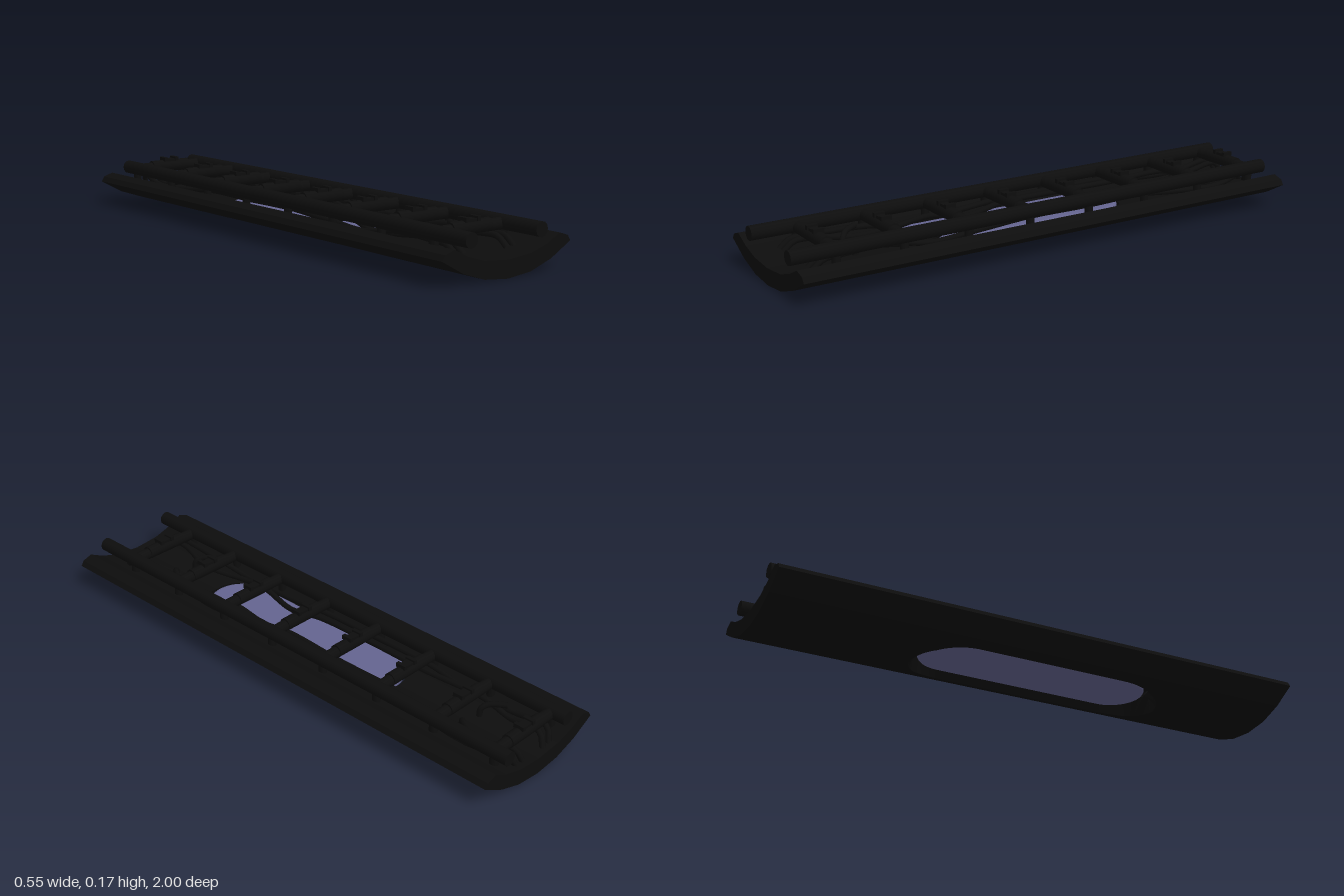
import * as THREE from 'three';

const black = new THREE.MeshStandardMaterial({ color: 0x0d0d0d });
black.name = 'matte black';
const violet = new THREE.MeshStandardMaterial({ color: 0x64648f });
violet.name = 'violet glass';

// Half profile of the curved hull, as [x, y] from the centre outward
const UNDER = [[0, 0], [0.1, 0.01], [0.19, 0.04], [0.277, 0.088]];
const UPPER = [[0, 0.06], [0.1, 0.069], [0.17, 0.09], [0.228, 0.119], [0.265, 0.107]];

function heightAt(profile, x) {
  for (let i = 1; i < profile.length; i++) {
    const [x0, y0] = profile[i - 1], [x1, y1] = profile[i];
    if (x <= x1) return y0 + (y1 - y0) * (x - x0) / (x1 - x0);
  }
  return profile[profile.length - 1][1];
}

// Half width at z of a slot with elliptical ends
function slotWidth(z, back, front, half, end) {
  if (z <= back || z >= front) return 0;
  const d = Math.min(1, Math.min(z - back, front - z) / end);
  return half * Math.sqrt(1 - (1 - d) ** 2);
}

// One half of the hull, lofted along z around the window opening
function hullHalf(side) {
  const stations = [-1, 1];
  for (let i = 0; i <= 14; i++) {
    const d = 0.22 * (i / 14) ** 2;
    stations.push(-0.42 + d, 0.56 - d, -0.4 + d, 0.53 - d);
  }
  stations.sort((a, b) => a - b);
  const loops = stations.map((z) => {
    const low = slotWidth(z, -0.42, 0.56, 0.145, 0.2);
    const high = slotWidth(z, -0.4, 0.53, 0.112, 0.112);
    const clamp = (profile, w) => profile.map(([x]) => {
      const cx = Math.max(x, w);
      return [side * cx, heightAt(profile, cx), z];
    });
    return [...clamp(UNDER, low), ...clamp(UPPER, high).reverse()];
  });
  const pos = [];
  const tri = (a, b, c) => (side > 0 ? pos.push(...a, ...b, ...c) : pos.push(...a, ...c, ...b));
  const n = loops[0].length;
  for (let s = 0; s < loops.length - 1; s++) {
    for (let i = 0; i < n; i++) {
      const j = (i + 1) % n, A = loops[s], B = loops[s + 1];
      tri(A[i], A[j], B[j]);
      tri(A[i], B[j], B[i]);
    }
  }
  // End caps
  const outline = loops[0].map((p) => new THREE.Vector2(Math.abs(p[0]), p[1]));
  const first = loops[0], last = loops[loops.length - 1];
  for (const [a, b, c] of THREE.ShapeUtils.triangulateShape(outline, [])) {
    tri(last[a], last[b], last[c]);
    tri(first[a], first[c], first[b]);
  }
  const geo = new THREE.BufferGeometry();
  geo.setAttribute('position', new THREE.Float32BufferAttribute(pos, 3));
  geo.computeVertexNormals();
  return geo;
}

// Capsule outline of the window pane
function windowPane() {
  const r = 0.105, back = -0.375, front = 0.495;
  const shape = new THREE.Shape();
  shape.absarc(0, -back - r, r, 0, Math.PI, false);
  shape.absarc(0, -front + r, r, Math.PI, Math.PI * 2, false);
  shape.closePath();
  const geo = new THREE.ExtrudeGeometry(shape, {
    depth: 0.02, bevelEnabled: true, bevelThickness: 0.008, bevelSize: 0.012, bevelSegments: 2, curveSegments: 16,
  });
  geo.rotateX(-Math.PI / 2);
  geo.translate(0, 0.049, 0);
  return geo;
}

export function createModel() {
  const model = new THREE.Group();
  model.name = 'curvedPanel';
  const add = (name, geo, mat, x = 0, y = 0, z = 0, parent = model) => {
    const mesh = new THREE.Mesh(geo, mat);
    mesh.name = name;
    mesh.position.set(x, y, z);
    parent.add(mesh);
    return mesh;
  };
  const tube = (pts, r) => {
    const curve = new THREE.CatmullRomCurve3(pts.map((p) => new THREE.Vector3(...p)));
    return new THREE.TubeGeometry(curve, pts.length * 7, r, 8);
  };

  add('windowPane', windowPane(), violet);

  const rungZ = Array.from({ length: 8 }, (_, i) => 0.825 - i * 0.251);

  // Rungs with a thicker sleeve, clamp plate and two lugs
  const bar = new THREE.CylinderGeometry(0.021, 0.021, 0.3, 12).rotateZ(Math.PI / 2);
  const sleeve = new THREE.CylinderGeometry(0.024, 0.024, 0.168, 12).rotateZ(Math.PI / 2);
  const plate = new THREE.BoxGeometry(0.062, 0.012, 0.03);
  const lug = new THREE.BoxGeometry(0.014, 0.016, 0.04);
  const post = new THREE.CylinderGeometry(0.015, 0.015, 0.06, 10);
  rungZ.forEach((z) => {
    const rung = new THREE.Group();
    rung.name = 'rung';
    rung.position.z = z;
    model.add(rung);
    add('rungBar', bar, black, 0, 0.134, 0, rung);
    add('rungSleeve', sleeve, black, 0, 0.137, 0, rung);
    add('clampPlate', plate, black, 0, 0.159, 0, rung);
    for (const s of [-1, 1]) {
      add('clampLug', lug, black, s * 0.025, 0.164, 0, rung);
      add('railPost', post, black, s * 0.15, 0.105, 0, rung);
    }
  });

  // Cable routes as [z, distance from centre]
  const innerRoute = [[-0.95, 0.065], [-0.82, 0.085], [-0.7, 0.09], [-0.45, 0.08], [-0.2, 0.083],
    [0.05, 0.075], [0.2, 0.07], [0.34, 0.08], [0.47, 0.097], [0.65, 0.06], [0.8, 0.09]];
  const outerRoute = [[-0.95, 0.105], [-0.8, 0.122], [-0.6, 0.112], [-0.43, 0.118], [-0.2, 0.12],
    [0.05, 0.116], [0.25, 0.112], [0.45, 0.12], [0.6, 0.108], [0.8, 0.122]];
  // Cables sag between the rungs
  const sag = (z) => 0.094 + 0.012 * Math.cos((z - 0.825) / 0.251 * Math.PI * 2);
  const cable = (route, s) => {
    const pts = route.map(([z, x]) => [s * x, sag(z), z]);
    const x0 = route[0][1], x1 = route[route.length - 1][1];
    return tube([[s * x0 * 0.8, 0.06, -0.975], ...pts,
      [s * (x1 + 0.005), 0.1, 0.86], [s * (x1 + 0.004), 0.07, 0.9]], 0.0105);
  };

  const rail = new THREE.CylinderGeometry(0.026, 0.026, 1.99, 12).rotateX(Math.PI / 2);
  for (const s of [-1, 1]) {
    add('hullHalf', hullHalf(s), black);
    add('rail', rail, black, s * 0.152, 0.137, 0);
    add('innerCable', cable(innerRoute, s), black);
    add('outerCable', cable(outerRoute, s), black);
    // Short elbow hoses dropping to the hull near both ends
    for (const z of [-0.74, 0.68]) {
      add('elbowHose', tube([[s * 0.1, 0.115, z - 0.05], [s * 0.07, 0.11, z],
        [s * 0.05, 0.095, z + 0.02], [s * 0.048, 0.058, z + 0.025]], 0.0105), black);
    }
  }
  return model;
}
